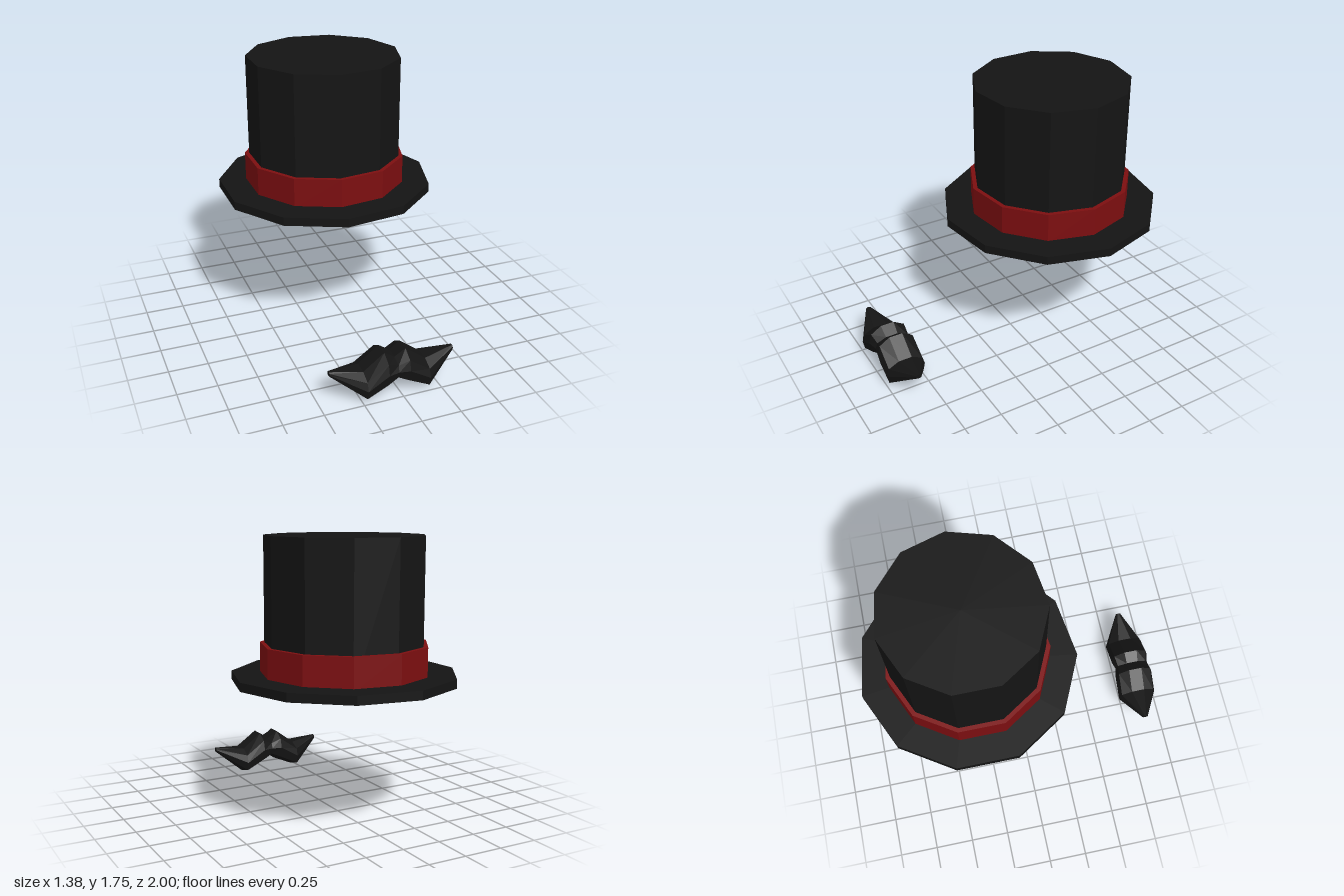
import * as THREE from 'three';

const black = new THREE.MeshStandardMaterial({ color: 0x141414, flatShading: true });
const red = new THREE.MeshStandardMaterial({ color: 0x7c0e10, flatShading: true });

// Eleven-sided drum with one corner pointing to +x
function drum(name, radius, bottom, top, material) {
  const geometry = new THREE.CylinderGeometry(radius, radius, top - bottom, 11, 1, false, Math.PI / 2);
  const mesh = new THREE.Mesh(geometry, material);
  mesh.name = name;
  mesh.position.y = (bottom + top) / 2;
  return mesh;
}

// Nine-sided cross-sections lofted from one tip to the other
function moustacheGeometry() {
  // Half of the section, bottom to top: depth and height fractions
  const half = [[0, 0], [0.9, 0.17], [1, 0.5], [0.87, 0.8], [0.34, 1]];
  const section = [...half, ...half.slice(1).reverse().map(([d, h]) => [-d, h])];
  // Stations from the middle outwards: x, bottom, top, half depth
  const side = [
    [0, 0.105, 0.23, 0.118],
    [0.068, 0.06, 0.276, 0.132],
    [0.2, 0.003, 0.176, 0.132],
    [0.4, 0.168, 0.198, 0.018],
  ];
  const stations = [...side.slice(1).reverse().map(([x, ...rest]) => [-x, ...rest]), ...side];
  const n = section.length;
  const positions = [];
  const index = [];
  for (const [x, y0, y1, depth] of stations) {
    for (const [d, h] of section) positions.push(x, y0 + (y1 - y0) * h, d * depth);
  }
  for (let s = 0; s < stations.length - 1; s++) {
    for (let i = 0; i < n; i++) {
      const a = s * n + i;
      const b = s * n + (i + 1) % n;
      index.push(a, a + n, b + n, a, b + n, b);
    }
  }
  // Flat tips
  const last = (stations.length - 1) * n;
  for (let i = 1; i < n - 1; i++) {
    index.push(0, i, i + 1, last, last + i + 1, last + i);
  }
  const geometry = new THREE.BufferGeometry();
  geometry.setAttribute('position', new THREE.Float32BufferAttribute(positions, 3));
  geometry.setIndex(index);
  geometry.computeVertexNormals();
  return geometry;
}

export function createModel() {
  const model = new THREE.Group();
  model.name = 'topHatAndMoustache';

  // Hat: brim, ribbon and crown share one axis
  const hat = new THREE.Group();
  hat.name = 'hat';
  hat.position.set(-0.015, 0, -0.302);
  hat.add(
    drum('brim', 0.704, 0.86, 0.915, black),
    drum('ribbon', 0.525, 0.9, 1.098, red),
    drum('crown', 0.497, 0.9, 1.755, black),
  );
  model.add(hat);

  // Moustache below and in front of the hat
  const moustache = new THREE.Mesh(moustacheGeometry(), black);
  moustache.name = 'moustache';
  moustache.position.set(-0.025, 0, 0.868);
  model.add(moustache);

  return model;
}
